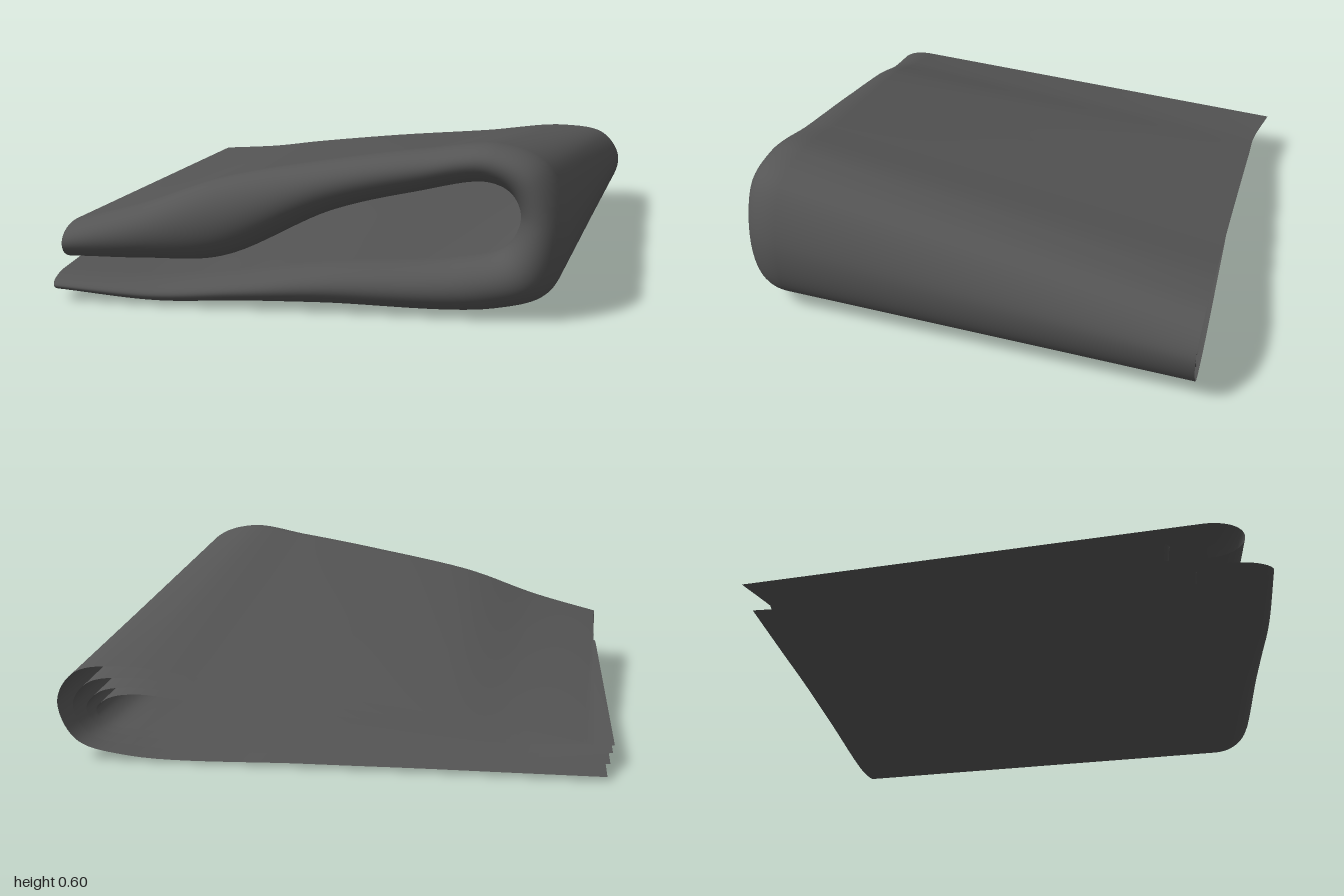
import * as THREE from 'three';
import { ParametricGeometry } from 'three/addons/geometries/ParametricGeometry.js';

const curve = (pts) => new THREE.CatmullRomCurve3(pts.map((p) => new THREE.Vector3(...p)));

// U-shaped paths [x, y, z]: upper left end, round the right-hand fold, back to lower left end
const outerBack = curve([
  [-0.86, 0.17, -0.92], [-0.6, 0.2, -0.88], [-0.4, 0.23, -0.875], [0, 0.28, -0.865], [0.4, 0.32, -0.855],
  [0.75, 0.36, -0.85], [0.93, 0.33, -0.84], [1.0, 0.22, -0.83], [0.94, 0.08, -0.83], [0.75, 0.025, -0.83],
  [0.1, 0.02, -0.83], [-0.3, 0.02, -0.83], [-0.6, 0.02, -0.835], [-0.95, 0.02, -0.84],
]);
const innerBack = curve([
  [-0.9, 0.12, -0.79], [-0.6, 0.125, -0.83], [-0.4, 0.14, -0.83], [0, 0.18, -0.83], [0.4, 0.22, -0.83],
  [0.72, 0.25, -0.82], [0.82, 0.23, -0.82], [0.86, 0.19, -0.82], [0.82, 0.14, -0.82], [0.7, 0.12, -0.82],
  [0.1, 0.1, -0.82], [-0.3, 0.09, -0.82], [-0.6, 0.08, -0.81], [-0.98, 0.09, -0.7],
]);
const outerFront = curve([
  [-0.97, 0.26, 0.83], [-0.7, 0.34, 0.82], [-0.4, 0.45, 0.81], [0, 0.535, 0.8], [0.35, 0.595, 0.81],
  [0.6, 0.625, 0.84], [0.76, 0.56, 0.865], [0.84, 0.33, 0.87], [0.78, 0.1, 0.875], [0.6, 0.03, 0.88],
  [0, 0.02, 0.895], [-0.3, 0.015, 0.905], [-0.6, 0.003, 0.915], [-0.96, 0.03, 0.915],
]);
const innerFront = curve([
  [-0.97, 0.12, 0.83], [-0.7, 0.12, 0.82], [-0.4, 0.14, 0.81], [0, 0.34, 0.8], [0.3, 0.43, 0.81],
  [0.55, 0.485, 0.84], [0.64, 0.45, 0.865], [0.67, 0.37, 0.87], [0.62, 0.26, 0.875], [0.45, 0.21, 0.88],
  [0, 0.17, 0.895], [-0.3, 0.125, 0.905], [-0.6, 0.09, 0.915], [-0.98, 0.09, 0.915],
]);

// A doubled sheet: outer leaf to the front, round the front fold, inner leaf to the back.
// w0 and w1 place its leaves between the outer and inner paths; reach is how far forward it goes.
function foldedSheet(name, w0, w1, reach, bend, material) {
  const o = new THREE.Vector3(), i = new THREE.Vector3(), t = new THREE.Vector3();
  const geometry = new ParametricGeometry((a, u, target) => {
    const straight = reach - bend;
    let k, w;
    if (a < 0.3) { k = straight * a / 0.3; w = 0; }
    else if (a > 0.7) { k = straight * (1 - a) / 0.3; w = 1; }
    else {
      const angle = Math.PI * (a - 0.3) / 0.4;
      k = straight + bend * Math.sin(angle);
      w = (1 - Math.cos(angle)) / 2;
    }
    o.copy(outerBack.getPoint(u, t)).lerp(outerFront.getPoint(u, t), k);
    i.copy(innerBack.getPoint(u, t)).lerp(innerFront.getPoint(u, t), k);
    target.copy(o).lerp(i, w0 + (w1 - w0) * w);
  }, 60, 130);
  const mesh = new THREE.Mesh(geometry, material);
  mesh.name = name;
  return mesh;
}

export function createModel() {
  const model = new THREE.Group();
  model.name = 'foldedCloth';
  const cloth = new THREE.MeshStandardMaterial({ color: 0x555555, side: THREE.DoubleSide });

  model.add(foldedSheet('outerFold', 0, 1, 1, 0.08, cloth));
  // Tucked layer that shows between the open edges
  model.add(foldedSheet('tuckedFold', 0.4, 0.75, 0.85, 0.04, cloth));
  return model;
}
